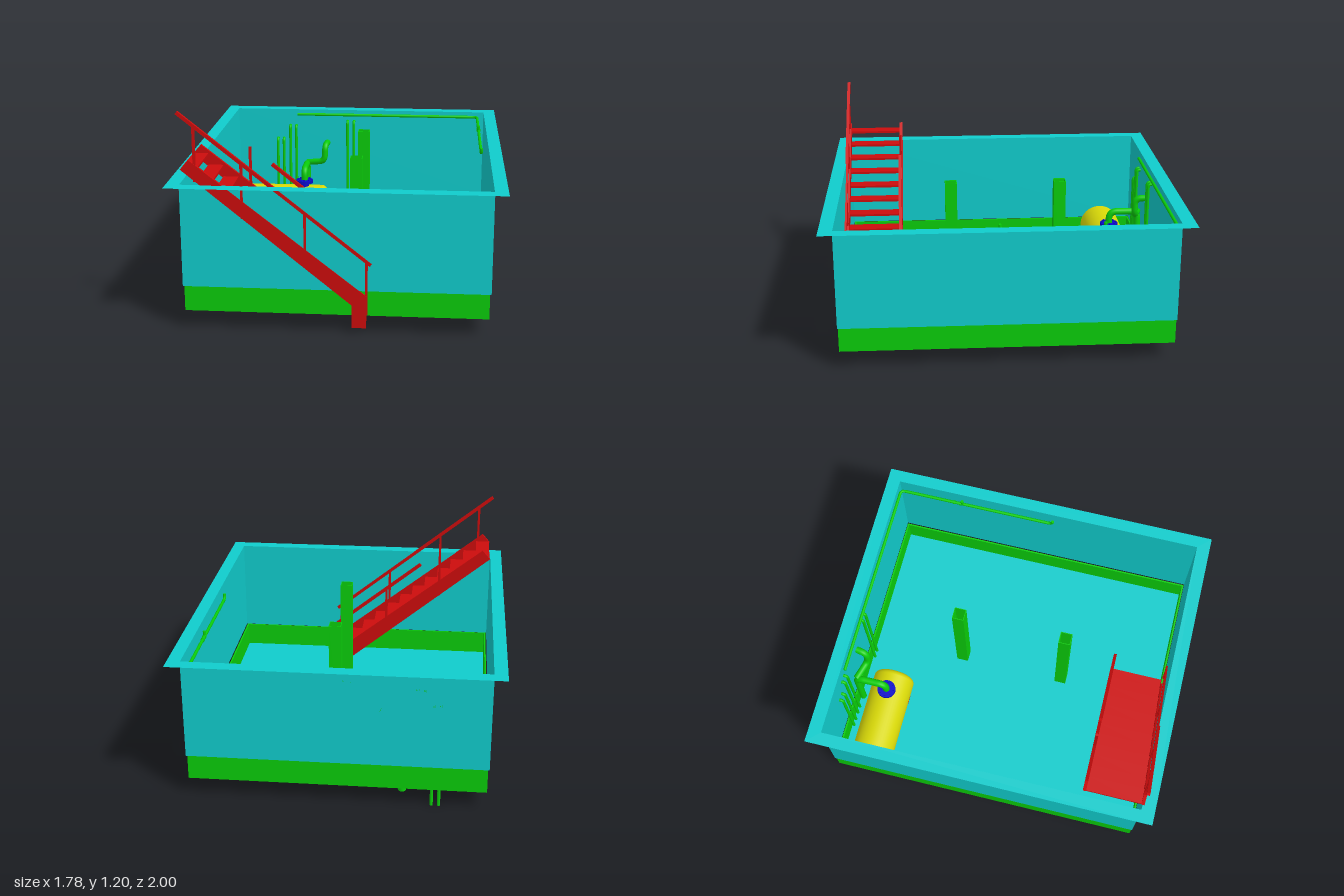
import * as THREE from 'three';

const mat = (color) => new THREE.MeshStandardMaterial({ color, side: THREE.DoubleSide });
const V = (x, y, z) => new THREE.Vector3(x, y, z);

export function createModel() {
  const model = new THREE.Group();
  const cyan = mat(0x10cccc), green = mat(0x0acc0a), red = mat(0xcc0c0c);
  const yellow = mat(0xd8d808), blue = mat(0x0a0acc);

  const add = (name, geometry, material, x = 0, y = 0, z = 0, parent = model) => {
    const m = new THREE.Mesh(geometry, material);
    m.name = name;
    m.position.set(x, y, z);
    parent.add(m);
    return m;
  };
  const box = (name, w, h, d, material, x, y, z, parent) =>
    add(name, new THREE.BoxGeometry(w, h, d), material, x, y, z, parent);
  const rect = (w, d, Type = THREE.Shape) => new Type([
    new THREE.Vector2(-w / 2, -d / 2), new THREE.Vector2(w / 2, -d / 2),
    new THREE.Vector2(w / 2, d / 2), new THREE.Vector2(-w / 2, d / 2)]);
  const frame = (w, d, iw, id) => {
    const s = rect(w, d);
    s.holes.push(rect(iw, id, THREE.Path));
    return s;
  };
  // upright hollow rectangular section
  const hollow = (w, d, t, h) =>
    new THREE.ExtrudeGeometry(frame(w, d, w - 2 * t, d - 2 * t), { depth: h, bevelEnabled: false }).rotateX(-Math.PI / 2);
  // pipe through points, with rounded bends
  const pipe = (name, pts, r, bend, parent = model) => {
    const path = new THREE.CurvePath();
    let from = pts[0];
    for (let i = 1; i < pts.length - 1; i++) {
      const p = pts[i];
      const a = p.clone().add(pts[i - 1].clone().sub(p).setLength(bend));
      const b = p.clone().add(pts[i + 1].clone().sub(p).setLength(bend));
      path.add(new THREE.LineCurve3(from, a));
      path.add(new THREE.QuadraticBezierCurve3(a, p, b));
      from = b;
    }
    path.add(new THREE.LineCurve3(from, pts[pts.length - 1]));
    const m = add(name, new THREE.TubeGeometry(path, 32 * pts.length, r, 14), green, 0, 0, 0, parent);
    // end caps
    for (const t of [0, 1]) {
      const dir = path.getTangentAt(t).multiplyScalar(t ? 1 : -1);
      const cap = add(name + 'End', new THREE.CircleGeometry(r, 14), green, 0, 0, 0, parent);
      cap.position.copy(path.getPointAt(t));
      cap.quaternion.setFromUnitVectors(V(0, 0, 1), dir);
    }
    return m;
  };

  // Open basin: floor, thin walls, lower band and top flange
  const cx = -0.003, floorY = 0.105, rimY = 0.81;
  const W = 1.645, D = 1.852;
  add('floor', new THREE.PlaneGeometry(W - 0.015, D - 0.015).rotateX(-Math.PI / 2), cyan, cx, floorY, 0);
  add('upperWalls', hollow(W, D, 0.002, rimY - 0.245), cyan, cx, 0.245, 0);
  add('lowerBand', hollow(W - 0.015, D - 0.008, 0.01, 0.245 - floorY), green, cx, floorY, 0);
  add('topFlange', new THREE.ShapeGeometry(frame(1.785, 2, W - 0.004, D - 0.004)).rotateX(-Math.PI / 2), cyan, cx, rimY, 0);

  // Two hollow square columns
  for (const z of [-0.35, 0.29]) add('column', hollow(0.07, 0.07, 0.004, rimY - floorY), green, 0.06, floorY, z);

  // Stairs
  const stairs = new THREE.Group();
  stairs.name = 'stairs';
  model.add(stairs);
  const stringer = new THREE.Shape([[-0.815, 0.893], [-0.77, 0.945], [0.165, 0.212], [0.158, 0.035], [0.082, 0.035], [0.082, 0.163]]
    .map(([x, y]) => new THREE.Vector2(x, y)));
  const railY = (x) => 1.2 - (x + 0.83) * 0.798;
  const sides = [
    { z: 0.921, railStart: -0.825, posts: [-0.74, -0.495, -0.165, 0.16] },
    { z: 0.594, railStart: -0.38, posts: [-0.5, -0.165, 0.16] },
  ];
  for (const { z, railStart, posts } of sides) {
    add('stringer', new THREE.ExtrudeGeometry(stringer, { depth: 0.018, bevelEnabled: false }), red, 0, 0, z - 0.009, stairs);
    const railEnd = 0.183, dy = railY(railEnd) - railY(railStart), dx = railEnd - railStart;
    const rail = box('handrail', Math.hypot(dx, dy), 0.018, 0.018, red,
      (railStart + railEnd) / 2, (railY(railStart) + railY(railEnd)) / 2, z, stairs);
    rail.rotation.z = Math.atan2(dy, dx);
    for (const x of posts) {
      const top = railY(x), bottom = railY(x) - 0.3;
      box('railPost', 0.014, top - bottom, 0.014, red, x, (top + bottom) / 2, z, stairs);
    }
  }
  for (let i = 0; i < 12; i++)
    box('tread', 0.083, 0.012, 0.32, red, -0.77 + i * 0.0815, 0.893 - i * 0.065, 0.757, stairs);

  // Horizontal tank with dished ends
  const tank = new THREE.Group();
  tank.name = 'tank';
  model.add(tank);
  const R = 0.125, half = 0.303, profile = [new THREE.Vector2(0, -half)];
  for (let i = 0; i <= 8; i++) {
    const a = (i / 8) * Math.PI / 2;
    profile.push(new THREE.Vector2(R - 0.04 + 0.04 * Math.sin(a), -half + 0.006 + 0.034 * (1 - Math.cos(a))));
  }
  const mirrored = profile.map((p) => new THREE.Vector2(p.x, -p.y)).reverse();
  add('tankShell', new THREE.LatheGeometry([...profile, ...mirrored], 48).rotateZ(Math.PI / 2), yellow, -0.508, 0.213, -0.72, tank);
  for (const x of [-0.697, -0.317]) box('saddle', 0.055, 0.08, 0.21, red, x, 0.11, -0.715, tank);
  add('tankNeck', new THREE.CylinderGeometry(0.03, 0.03, 0.06, 24), blue, -0.36, 0.345, -0.72, tank);
  add('tankFlange', new THREE.CylinderGeometry(0.055, 0.055, 0.02, 32), blue, -0.36, 0.367, -0.72, tank);
  for (let i = 0; i < 8; i++) {
    const a = (i / 8) * Math.PI * 2;
    add('flangeBolt', new THREE.CylinderGeometry(0.006, 0.006, 0.03, 6), blue,
      -0.36 + 0.043 * Math.cos(a), 0.37, -0.72 + 0.043 * Math.sin(a), tank);
  }

  // Large pipe from the tank: drain through the floor and S-shaped branch
  pipe('drainPipe', [V(-0.36, 0.37, -0.72), V(-0.36, 0.45, -0.72), V(-0.36, 0.45, -0.9), V(-0.36, 0.085, -0.9)], 0.021, 0.05);
  pipe('branchPipe', [V(-0.36, 0.45, -0.9), V(-0.24, 0.47, -0.86), V(-0.235, 0.58, -0.86), V(-0.225, 0.585, -0.923)], 0.02, 0.04);

  // Small risers along the back wall, bent over into the wall
  const risers = [[-0.56, 0.61, 0], [-0.52, 0.61, 0], [-0.475, 0.7, floorY], [-0.435, 0.7, floorY], [-0.088, 0.735, floorY], [-0.046, 0.735, floorY]];
  for (const [x, top, bottom] of risers)
    pipe('riser', [V(x, bottom, -0.902), V(x, top, -0.902), V(x, top, -0.926)], 0.009, 0.018);

  // Long pipe round the back and right walls, with upturned outlets
  pipe('wallPipe', [V(-0.425, 0.78, -0.908), V(0.775, 0.78, -0.908), V(0.775, 0.78, 0.045), V(0.775, 0.812, 0.045)], 0.009, 0.025);
  pipe('wallPipeOutlet', [V(0.775, 0.78, -0.52), V(0.775, 0.812, -0.52)], 0.009, 0.01);
  for (const z of [-0.57, -0.53]) add('pipeCollar', new THREE.CylinderGeometry(0.012, 0.012, 0.012, 14).rotateX(Math.PI / 2), green, 0.775, 0.78, z);

  return model;
}
